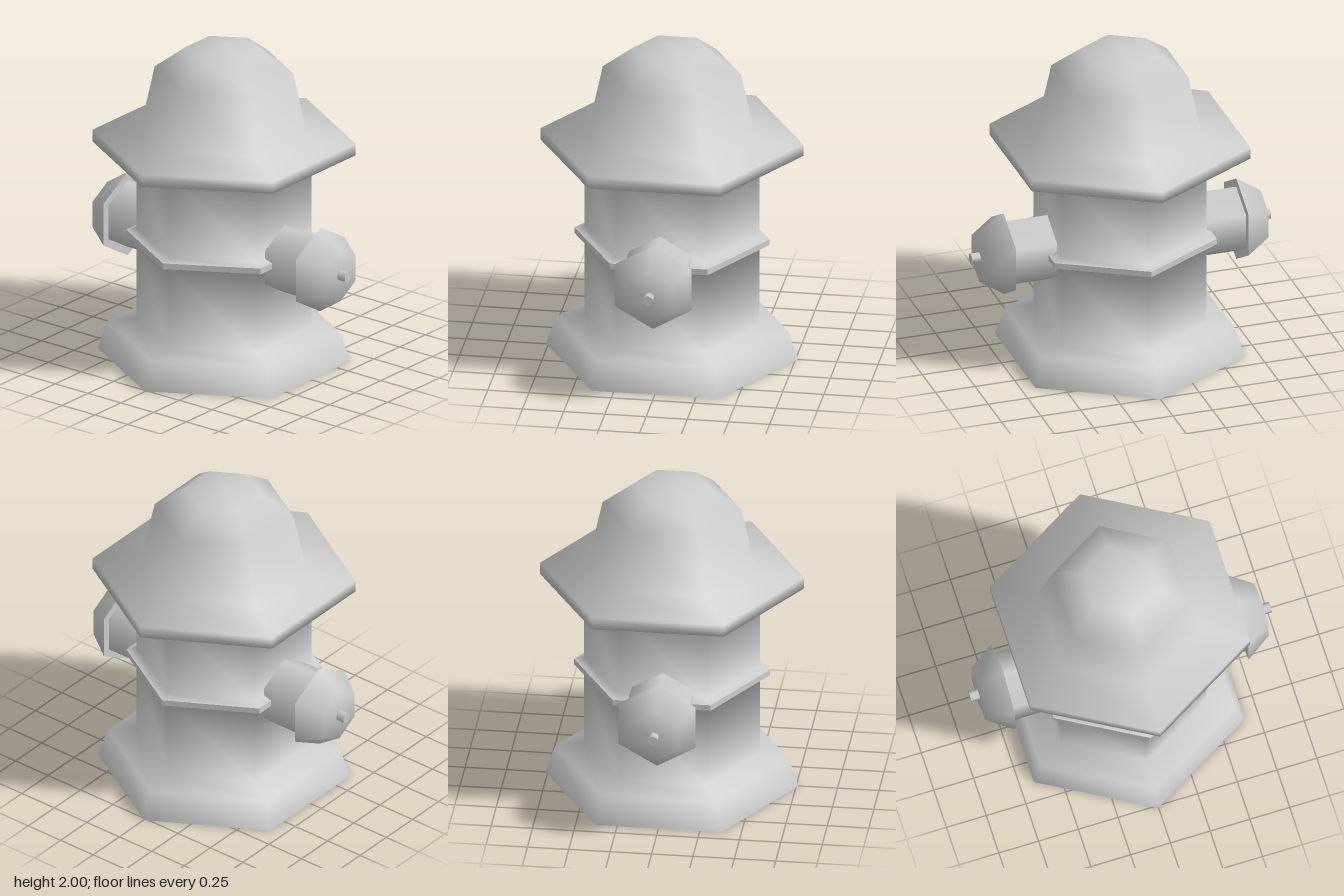
import * as THREE from 'three';

const material = new THREE.MeshStandardMaterial({ color: 0xcccccc });
const SIDES = 6;

// Six-sided lathe of [radius, height] points; each bend is smoothed evenly, whatever the segment lengths.
function hexLathe(name, profile, phiStart = 0) {
  const points = profile.map(([r, y]) => new THREE.Vector2(r, y));
  const geometry = new THREE.LatheGeometry(points, SIDES, phiStart);
  const segments = points.slice(1).map((p, i) => {
    const d = p.clone().sub(points[i]);
    return new THREE.Vector2(d.y, -d.x).normalize();
  });
  const normals = points.map((p, j) => {
    if (p.x === 0) return new THREE.Vector2(0, Math.sign(segments[Math.min(j, segments.length - 1)].y));
    const n = new THREE.Vector2();
    if (j > 0) n.add(segments[j - 1]);
    if (j < segments.length) n.add(segments[j]);
    return n.normalize();
  });
  for (let i = 0; i <= SIDES; i++) {
    const phi = phiStart + (i / SIDES) * Math.PI * 2;
    normals.forEach((n, j) => {
      geometry.attributes.normal.setXYZ(i * points.length + j, n.x * Math.sin(phi), n.y, n.x * Math.cos(phi));
    });
  }
  const mesh = new THREE.Mesh(geometry, material);
  mesh.name = name;
  return mesh;
}

// Side outlet built along +y, then laid over to point along x
function createOutlet(name, side) {
  const outlet = new THREE.Group();
  outlet.name = name;
  const turn = Math.PI / 2;
  outlet.add(
    hexLathe('outletPipe', [[0.215, 0.3], [0.215, 0.74]], turn),
    hexLathe('outletCapBack', [[0, 0.735], [0.27, 0.735]], turn),
    hexLathe('outletCap', [[0.27, 0.735], [0.165, 0.89], [0, 0.89]], turn),
    hexLathe('outletBolt', [[0.034, 0.88], [0.034, 0.945]], turn),
    hexLathe('outletBoltEnd', [[0.034, 0.945], [0, 0.945]], turn),
  );
  outlet.position.y = 0.73;
  outlet.rotation.z = -side * Math.PI / 2;
  return outlet;
}

export function createModel() {
  const model = new THREE.Group();
  model.name = 'hydrant';

  // Base underside, foot and lower barrel up to the collar
  model.add(
    hexLathe('baseUnderside', [[0, 0], [0.765, 0]]),
    hexLathe('baseAndLowerBarrel', [[0.765, 0], [0.705, 0.18], [0.53, 0.21], [0.53, 0.72], [0.592, 0.735]]),
  );

  // Flat-faced collar band
  const bandGeometry = new THREE.CylinderGeometry(0.592, 0.592, 0.037, SIDES, 1, true).toNonIndexed();
  bandGeometry.computeVertexNormals();
  const band = new THREE.Mesh(bandGeometry, material);
  band.name = 'collarBand';
  band.position.y = 0.7535;
  model.add(band);

  // Upper barrel, brim and domed bonnet
  model.add(
    hexLathe('upperBarrelAndBonnet', [
      [0.592, 0.772], [0.53, 0.79], [0.53, 1.33], [0.797, 1.33], [0.797, 1.405],
      [0.5, 1.46], [0.42, 1.835], [0.233, 1.97], [0, 2],
    ]),
  );

  model.add(createOutlet('leftOutlet', 1), createOutlet('rightOutlet', -1));
  return model;
}
